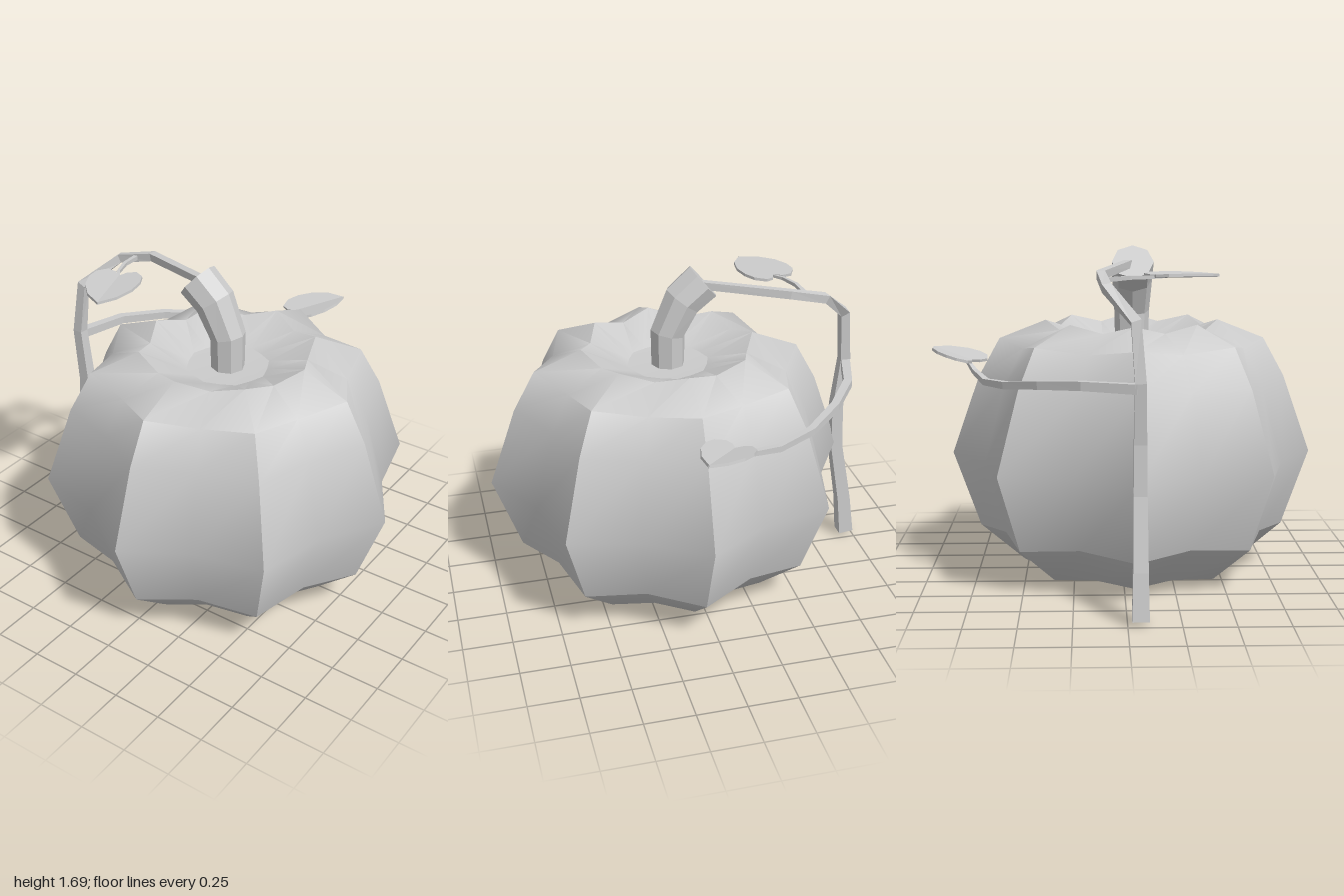
import * as THREE from 'three';
import { toCreasedNormals } from 'three/addons/utils/BufferGeometryUtils.js';

const smooth = new THREE.MeshStandardMaterial({ color: 0xcccccc });
const faceted = new THREE.MeshStandardMaterial({ color: 0xcccccc, flatShading: true });
const CENTRE = { x: 0.065, z: 0.05 };
const vec = (a) => new THREE.Vector3(a[0], a[1], a[2]);

// Joins equal-length closed rings of points into a surface
function skin(rings, capped) {
  const n = rings[0].length, index = [];
  for (let i = 0; i < rings.length - 1; i++) {
    for (let j = 0; j < n; j++) {
      const k = (j + 1) % n, a = i * n, b = a + n;
      index.push(a + j, a + k, b + k, a + j, b + k, b + j);
    }
  }
  if (capped) {
    const last = (rings.length - 1) * n;
    for (let j = 1; j < n - 1; j++) {
      index.push(0, j + 1, j, last, last + j, last + j + 1);
    }
  }
  const geo = new THREE.BufferGeometry().setFromPoints(rings.flat());
  geo.setIndex(index);
  return geo;
}

// Eight-ribbed shell; each profile row is [ridgeRadius, ridgeY, valleyRadius, valleyY]
function ribbedShell(name, profile) {
  const rings = profile.map(([r, y, vr, vy]) =>
    Array.from({ length: 16 }, (_, j) => {
      const a = (j * Math.PI) / 8, rad = j % 2 ? vr : r;
      return new THREE.Vector3(CENTRE.x + rad * Math.cos(a), j % 2 ? vy : y, CENTRE.z - rad * Math.sin(a));
    }));
  const mesh = new THREE.Mesh(toCreasedNormals(skin(rings, false), Math.PI / 4), smooth);
  mesh.name = name;
  return mesh;
}

// Tapered polygonal stalk; each path row is [x, y, z, radius]
function stalk(name, path, sides, phase, reference) {
  const pts = path.map(vec);
  const rings = pts.map((p, i) => {
    const t = new THREE.Vector3();
    if (i > 0) t.add(p.clone().sub(pts[i - 1]).normalize());
    if (i < pts.length - 1) t.add(pts[i + 1].clone().sub(p).normalize());
    t.normalize();
    const n = reference.clone().addScaledVector(t, -reference.dot(t)).normalize();
    const b = t.clone().cross(n);
    return Array.from({ length: sides }, (_, j) => {
      const a = phase + (j * 2 * Math.PI) / sides, r = path[i][3];
      return p.clone().addScaledVector(n, r * Math.cos(a)).addScaledVector(b, r * Math.sin(a));
    });
  });
  const mesh = new THREE.Mesh(skin(rings, true), faceted);
  mesh.geometry.computeVertexNormals();
  mesh.name = name;
  return mesh;
}

// Heart-shaped leaf from two halves folded along the midrib
function leaf(name, notch, tip, fold) {
  const group = new THREE.Group();
  const along = vec(tip).sub(vec(notch));
  const length = along.length();
  along.normalize();
  const outline = [[0, 0], [0.1, -0.13], [0.25, -0.17], [0.4, -0.02], [0.44, 0.2], [0.4, 0.48], [0.25, 0.78], [0, 1]];
  for (const side of [1, -1]) {
    const shape = new THREE.Shape(outline.map(([x, y]) => new THREE.Vector2(side * x * length, y * length)));
    const geo = new THREE.ExtrudeGeometry(shape, { depth: 0.014, bevelEnabled: false });
    const half = new THREE.Mesh(geo, faceted);
    half.name = side > 0 ? 'leafHalfA' : 'leafHalfB';
    half.rotation.y = -side * fold;
    group.add(half);
  }
  const across = along.clone().cross(new THREE.Vector3(0, 1, 0)).normalize();
  const up = across.clone().cross(along);
  group.quaternion.setFromRotationMatrix(new THREE.Matrix4().makeBasis(across, along, up));
  group.position.copy(vec(notch));
  group.name = name;
  return group;
}

export function createModel() {
  const model = new THREE.Group();
  const Y = new THREE.Vector3(0, 1, 0), Z = new THREE.Vector3(0, 0, 1);

  // Pumpkin body: underside, ribbed sides, and sunken plate under the stem
  model.add(ribbedShell('underside', [
    [0, 0.06, 0, 0.06],
    [0.16, 0.05, 0.15, 0.05],
    [0.37, 0.0, 0.34, 0.01],
    [0.565, 0.03, 0.49, 0.04],
    [0.795, 0.22, 0.7, 0.245],
  ]));
  model.add(ribbedShell('ribbedSides', [
    [0.795, 0.22, 0.7, 0.245],
    [0.935, 0.61, 0.807, 0.61],
    [0.795, 1.01, 0.7, 1.0],
    [0.685, 1.21, 0.6, 1.18],
    [0.445, 1.305, 0.4, 1.265],
    [0.21, 1.19, 0.2, 1.19],
  ]));
  model.add(ribbedShell('topPlate', [[0.21, 1.19, 0.2, 1.19], [0, 1.18, 0, 1.18]]));

  // Bent stem
  model.add(stalk('stem', [
    [0.065, 1.17, 0.05, 0.085],
    [0.065, 1.355, 0.05, 0.09],
    [-0.012, 1.52, 0.05, 0.102],
    [-0.117, 1.61, 0.05, 0.105],
  ], 8, 0, Z));

  // Vine hanging from the stem to the ground
  model.add(stalk('vine', [
    [-0.96, 0.02, 0.06, 0.056],
    [-0.935, 0.24, 0.06, 0.05],
    [-0.875, 0.58, 0.06, 0.045],
    [-0.867, 0.82, 0.06, 0.042],
    [-0.895, 1.1, 0.06, 0.037],
    [-0.87, 1.37, 0.04, 0.034],
    [-0.715, 1.515, -0.09, 0.031],
    [-0.52, 1.565, -0.115, 0.029],
    [-0.1, 1.6, 0.03, 0.027],
  ], 4, Math.PI / 4, Z));

  // Side shoot curling around the back
  model.add(stalk('sideShoot', [
    [-0.9, 1.075, 0.05, 0.033],
    [-0.82, 1.08, -0.2, 0.03],
    [-0.68, 1.065, -0.4, 0.028],
    [-0.5, 1.04, -0.57, 0.025],
    [-0.3, 1.03, -0.68, 0.022],
    [-0.12, 1.06, -0.75, 0.017],
    [-0.04, 1.1, -0.79, 0.012],
  ], 4, Math.PI / 4, Y));
  model.add(leaf('backLeaf', [-0.05, 1.1, -0.775], [0.13, 1.15, -0.985], 0.15));

  // Small leaf near the top of the vine
  model.add(stalk('leafStalk', [
    [-0.61, 1.545, -0.1, 0.016],
    [-0.595, 1.555, 0.02, 0.013],
    [-0.56, 1.555, 0.12, 0.011],
    [-0.51, 1.555, 0.18, 0.009],
  ], 4, Math.PI / 4, Y));
  model.add(leaf('frontLeaf', [-0.52, 1.55, 0.165], [-0.42, 1.55, 0.455], 0.08));

  return model;
}
